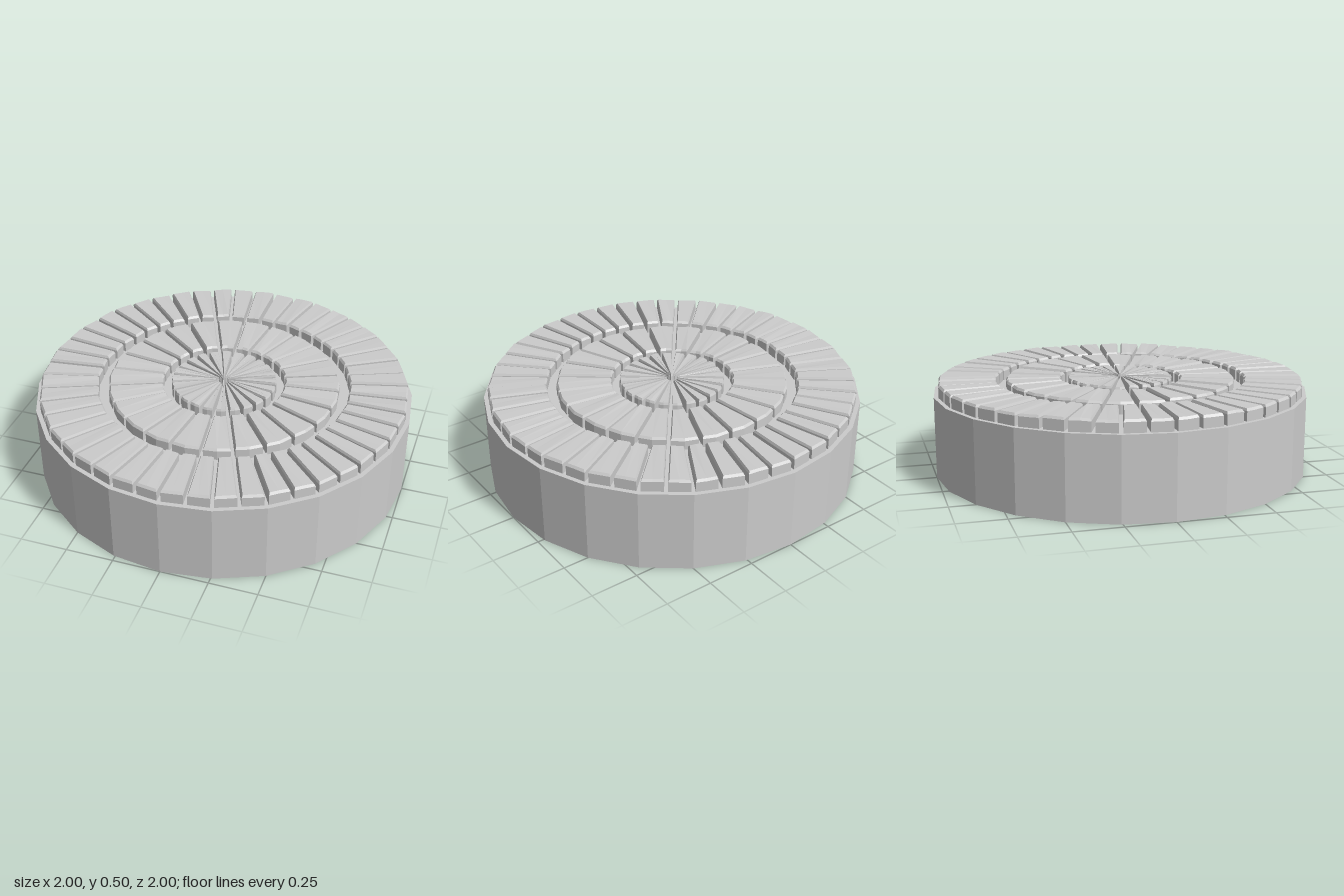
import * as THREE from 'three';

const SIDES = 24, FLOOR = 0.43;
const STEP = (Math.PI * 2) / SIDES;

// Radius of a 24-sided ring at a given angle (corners on multiples of 15 degrees)
function ringRadius(a, r) {
  const k = a - Math.floor(a / STEP) * STEP;
  return (r * Math.cos(STEP / 2)) / Math.cos(k - STEP / 2);
}

// Counter-clockwise outline of one stone; gap is the distance kept from each slot's centre line
function outline(a0, a1, r0, r1, gap) {
  const pts = [];
  const put = (a, r) => {
    const d = ringRadius(a, r);
    pts.push(new THREE.Vector2(Math.cos(a) * d, Math.sin(a) * d));
  };
  const mid = (a0 + a1) / 2;
  const turn = (r) => Math.min(Math.asin(Math.min(1, gap / r)), (a1 - a0) * 0.36);
  const o = turn(r1), i = turn(r0);
  put(a0 + o, r1);
  put(mid, r1);
  put(a1 - o, r1);
  put(a1 - i, r0);
  put(mid, r0);
  put(a0 + i, r0);
  return pts;
}

// Hollow stone: upright sides, a small chamfer and a slightly tilted top
function stoneGeometry(base, inset, top, tilt) {
  const n = base.length, pos = [];
  const lift = (pts, y, slope) => pts.map((p, i) =>
    [p.x, y + (i < 2 || i === 5 ? slope : -slope), -p.y]);
  const rings = [lift(base, FLOOR, 0), lift(base, top - 0.012, tilt), lift(inset, top, tilt)];
  const tri = (a, b, c) => pos.push(...a, ...b, ...c);
  for (let k = 0; k < 2; k++) {
    for (let i = 0; i < n; i++) {
      const j = (i + 1) % n;
      tri(rings[k][i], rings[k][j], rings[k + 1][j]);
      tri(rings[k][i], rings[k + 1][j], rings[k + 1][i]);
    }
  }
  const t = rings[2];
  tri(t[0], t[1], t[5]);
  tri(t[1], t[4], t[5]);
  tri(t[1], t[2], t[4]);
  tri(t[2], t[3], t[4]);
  const g = new THREE.BufferGeometry();
  g.setAttribute('position', new THREE.Float32BufferAttribute(pos, 3));
  g.computeVertexNormals();
  return g;
}

export function createModel() {
  const model = new THREE.Group();
  model.name = 'roundPavedPlatform';
  const mat = new THREE.MeshStandardMaterial({
    color: 0xcccccc, flatShading: true, side: THREE.DoubleSide,
  });

  let seed = 7;
  const rand = () => {
    seed = (seed * 16807) % 2147483647;
    return seed / 2147483647;
  };

  // Outer wall, open underneath
  const wall = new THREE.Mesh(new THREE.CylinderGeometry(1, 1, FLOOR, SIDES, 1, true), mat);
  wall.name = 'wall';
  wall.position.y = FLOOR / 2;
  model.add(wall);

  // Floor between the stones
  const floorShape = new THREE.Shape();
  for (let i = 0; i < SIDES; i++) {
    const x = Math.cos(i * STEP), y = Math.sin(i * STEP);
    if (i) floorShape.lineTo(x, y); else floorShape.moveTo(x, y);
  }
  floorShape.closePath();

  // Three rings of stones
  const rings = [
    { name: 'outerStones', count: 48, shift: 0, r0: 0.67, r1: 0.977, gap: 0.01, inset: 0.009 },
    { name: 'middleStones', count: 24, shift: 0.5, r0: 0.325, r1: 0.615, gap: 0.01, inset: 0.009 },
    { name: 'centreWedges', count: 24, shift: 0.5, r0: 0.03, r1: 0.28, gap: 0.01, inset: 0.005 },
  ];
  for (const r of rings) {
    const ring = new THREE.Group();
    ring.name = r.name;
    const step = (Math.PI * 2) / r.count;
    for (let i = 0; i < r.count; i++) {
      const a0 = (i + r.shift) * step, a1 = a0 + step;
      const base = outline(a0, a1, r.r0, r.r1, r.gap);
      const inset = outline(a0, a1, r.r0 + r.inset, r.r1 - r.inset, r.gap + r.inset * 0.6);
      const top = 0.491 + rand() * 0.006, tilt = (rand() - 0.5) * 0.004;
      const stone = new THREE.Mesh(stoneGeometry(base, inset, top, tilt), mat);
      stone.name = 'stone';
      ring.add(stone);
      floorShape.holes.push(new THREE.Path(base.slice().reverse()));
    }
    model.add(ring);
  }

  const floor = new THREE.Mesh(new THREE.ShapeGeometry(floorShape), mat);
  floor.name = 'floor';
  floor.rotation.x = -Math.PI / 2;
  floor.position.y = FLOOR;
  model.add(floor);

  return model;
}
